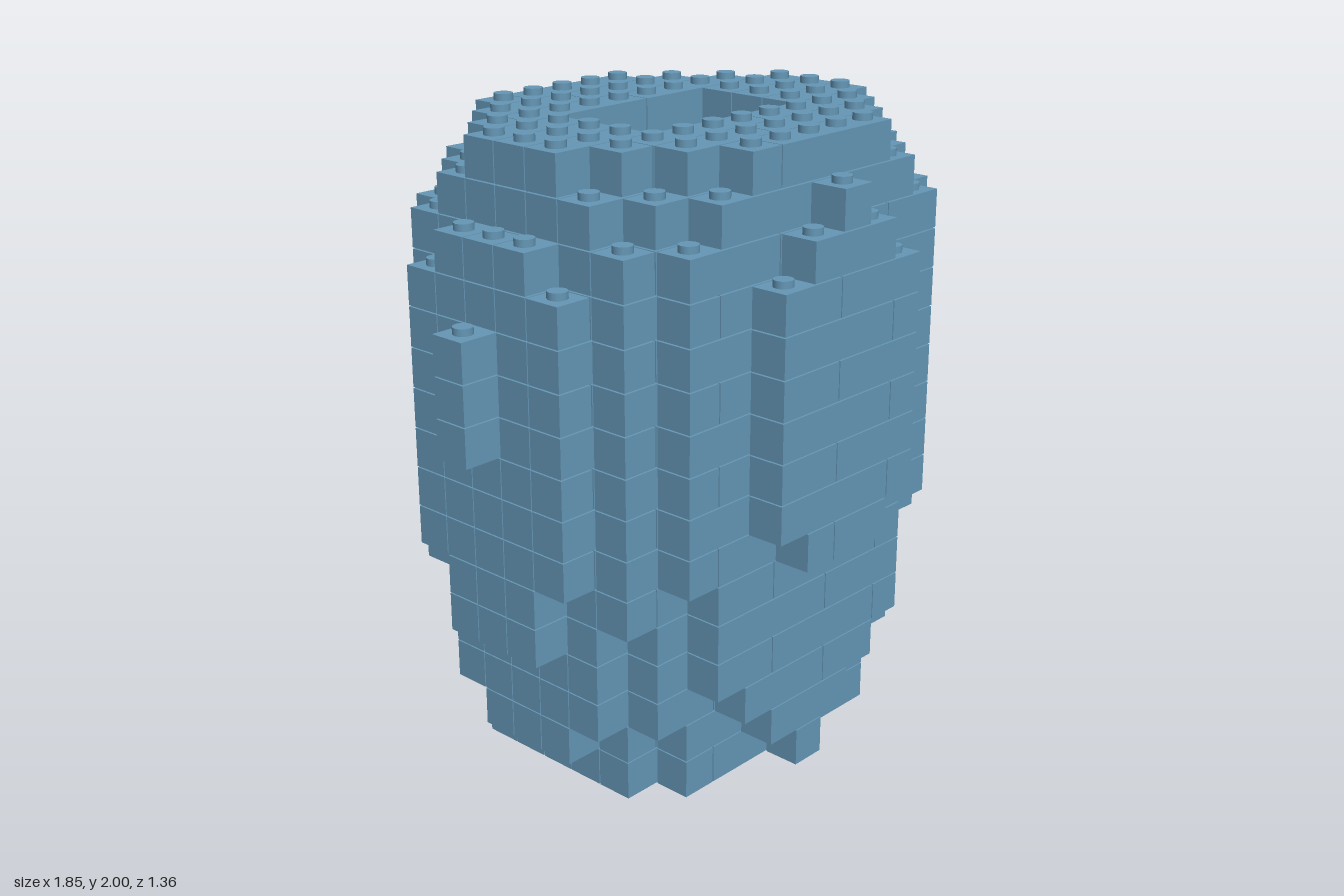
import * as THREE from 'three';
import { mergeGeometries } from 'three/addons/utils/BufferGeometryUtils.js';

const P = 0.1239;      // stud pitch and layer height
const GAP = 0.004;     // seam between bricks
const STUD_R = 0.03, STUD_H = 0.0176;

// Half-widths in studs of each row, from the middle row outwards, per layer (bottom to top)
const OUTER = [
  [4, 4, 4, 3, 0],
  [5, 5, 4, 3, 1],
  [5, 5, 5, 4, 2],
  [5, 5, 5, 4, 3],
  [6, 6, 5, 4, 3],
  [6, 6, 5, 5, 3],
  [6, 6, 6, 5, 4, 1],
  [6, 6, 6, 5, 4, 2],
  [6, 6, 6, 5, 4, 2],
  [7, 6, 6, 5, 4, 2],
  [7, 6, 6, 5, 4, 2],
  [7, 6, 6, 5, 4, 2],
  [6, 6, 6, 5, 4, 2],
  [6, 6, 5, 5, 4, 1],
  [5, 5, 5, 4, 3, 0],
  [5, 5, 4, 3, 2],
];

// The same for the hollow inside; the lowest layers are solid and form the floor
const INNER = [
  [], [], [],
  [3, 3, 1], [3, 3, 1],
  [3, 3, 2], [3, 3, 2],
  [4, 3, 2], [4, 3, 2], [4, 3, 2], [4, 3, 2],
  [4, 3, 2, 0],
  [4, 3, 2],
  [3, 3, 2],
  [3, 2, 1],
  [2, 2],
];

const inside = (rows, i, j) => rows !== undefined && Math.abs(i) <= (rows[Math.abs(j)] ?? -1);
const filled = (k, i, j) => inside(OUTER[k], i, j) && !inside(INNER[k], i, j);

// One brick covering studs i0..i1 of row j
function brick(k, j, i0, i1) {
  const g = new THREE.BoxGeometry((i1 - i0 + 1) * P - GAP, P - GAP, P - GAP);
  return g.translate((i0 + i1) / 2 * P, k * P + (P - GAP) / 2, j * P);
}

function stud(k, i, j) {
  const h = STUD_H + GAP;
  const g = new THREE.CylinderGeometry(STUD_R, STUD_R, h, 16);
  return g.translate(i * P, (k + 1) * P - GAP + h / 2, j * P);
}

export function createModel() {
  const model = new THREE.Group();
  model.name = 'brickBarrel';
  const blue = new THREE.MeshStandardMaterial({ color: 0x6496b5 });
  blue.name = 'steelBlue';

  OUTER.forEach((rows, k) => {
    const bricks = [], studs = [];
    const reach = rows.length - 1;
    for (let j = -reach; j <= reach; j++) {
      let start = null;
      for (let i = -8; i <= 8; i++) {
        if (filled(k, i, j)) {
          if (start === null) start = i;
          // staggered brick ends, so seams do not line up between layers
          const cut = (i + 20 + k * 2 + Math.abs(j)) % 4 === 0;
          if (cut || !filled(k, i + 1, j)) {
            bricks.push(brick(k, j, start, i));
            start = null;
          }
          // studs only where nothing sits on top
          if (k === OUTER.length - 1 || !filled(k + 1, i, j)) studs.push(stud(k, i, j));
        }
      }
    }
    const layer = new THREE.Group();
    layer.name = `layer${k + 1}`;
    const body = new THREE.Mesh(mergeGeometries(bricks), blue);
    body.name = 'bricks';
    layer.add(body);
    if (studs.length) {
      const tops = new THREE.Mesh(mergeGeometries(studs), blue);
      tops.name = 'studs';
      layer.add(tops);
    }
    model.add(layer);
  });
  return model;
}
